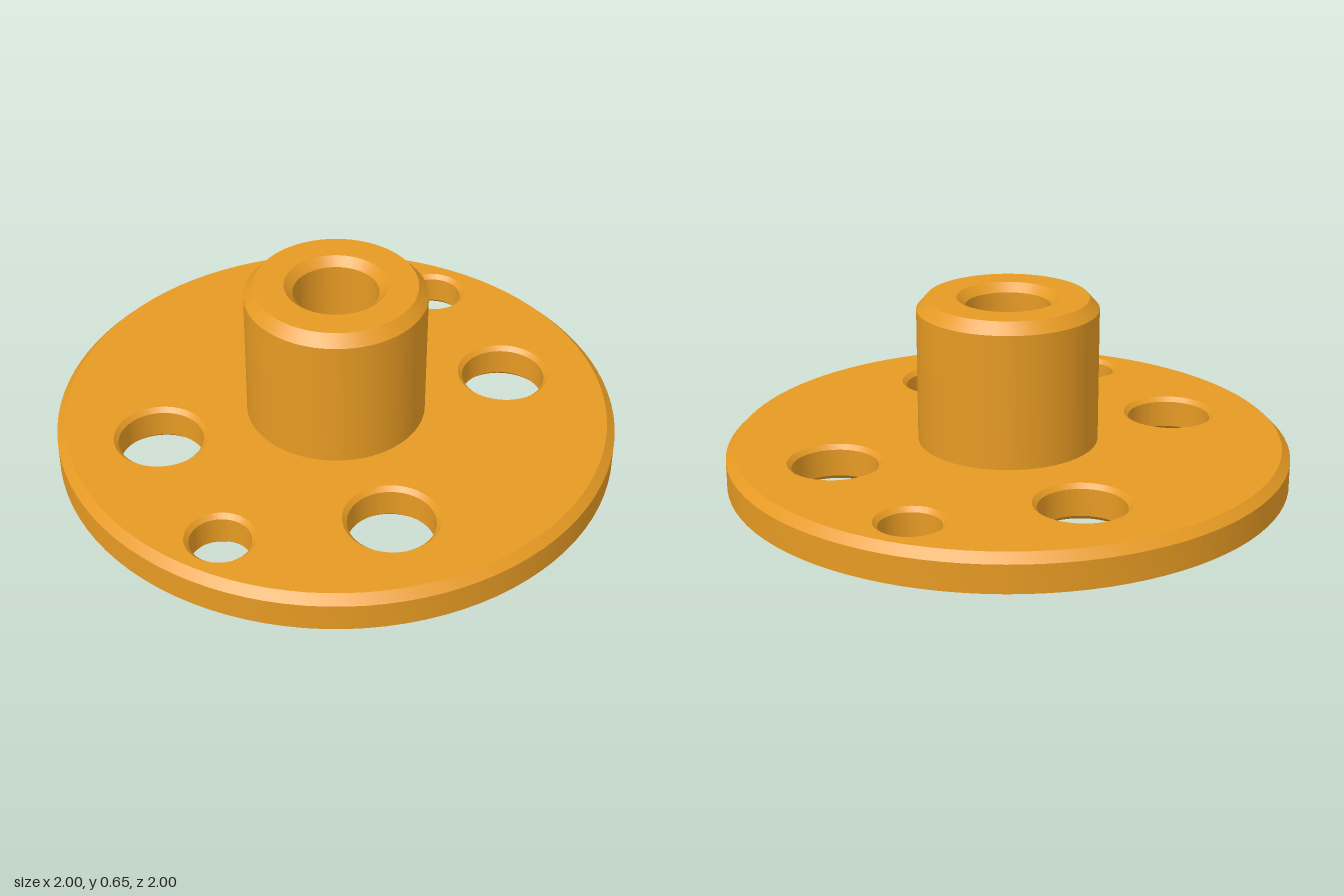
import * as THREE from 'three';
import { toCreasedNormals } from 'three/addons/utils/BufferGeometryUtils.js';

const SEG = 96;
const PLATE_H = 0.13;
const material = new THREE.MeshStandardMaterial({ color: 0xe69a23 });

// Four large holes on the diagonals, two small ones at front and back
const holes = [];
for (const z of [-1, 1]) {
  for (const x of [-1, 1]) holes.push({ x: x * 0.455, z: z * 0.455, r: 0.15, c: 0.016 });
  holes.push({ x: 0, z: z * 0.805, r: 0.105, c: 0.016 });
}

function part(name, geometry) {
  const mesh = new THREE.Mesh(geometry, material);
  mesh.name = name;
  return mesh;
}

// Revolved surface with crisp chamfer edges
function turned(name, profile) {
  const points = profile.map(([r, y]) => new THREE.Vector2(r, y));
  return part(name, toCreasedNormals(new THREE.LatheGeometry(points, SEG), Math.PI / 6));
}

// Flat disc pierced by the centre opening and all the holes
function face(name, radius, centre, y, dir) {
  const shape = new THREE.Shape().absarc(0, 0, radius, 0, Math.PI * 2);
  const cut = (x, z, r) => shape.holes.push(new THREE.Path().absarc(x, z, r, 0, Math.PI * 2, true));
  cut(0, 0, centre);
  for (const h of holes) cut(h.x, h.z, h.r + h.c);
  const geometry = new THREE.ShapeGeometry(shape, SEG / 2);
  geometry.rotateX(-dir * Math.PI / 2);
  geometry.translate(0, y, 0);
  return part(name, geometry);
}

export function createModel() {
  const group = new THREE.Group();
  group.name = 'flangedHub';

  // Round plate with chamfered upper rim
  group.add(turned('plateRim', [[1, 0], [1, 0.1], [0.97, PLATE_H]]));
  group.add(face('plateTop', 0.97, 0.32, PLATE_H, 1));
  group.add(face('plateBottom', 1, 0.18, 0, -1));

  // Hub outside, top ring and through bore in one profile
  group.add(turned('hub', [
    [0.32, PLATE_H], [0.32, 0.61], [0.285, 0.65], [0.18, 0.65],
    [0.15, 0.62], [0.15, 0.03], [0.18, 0],
  ]));

  // Hole walls, chamfered at both ends
  for (const { x, z, r, c } of holes) {
    const wall = turned('holeWall', [[r + c, PLATE_H], [r, PLATE_H - c], [r, c], [r + c, 0]]);
    wall.position.set(x, 0, z);
    group.add(wall);
  }
  return group;
}
